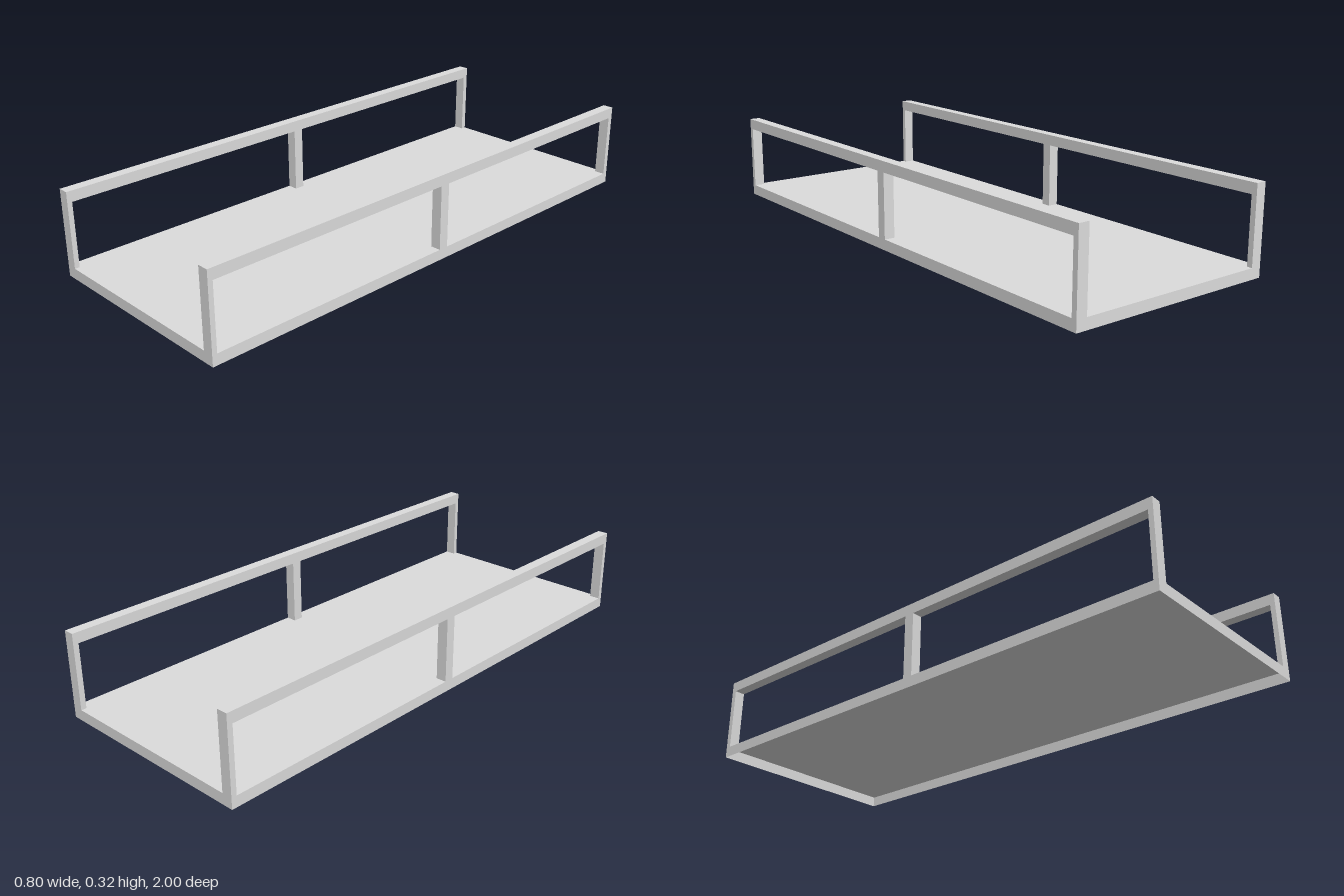
import * as THREE from 'three';

export function createModel() {
  const model = new THREE.Group();
  model.name = 'railedPlatform';
  const grey = new THREE.MeshStandardMaterial({ color: 0xdcdcdc, side: THREE.DoubleSide });
  grey.name = 'light grey';

  // Deck: a thin sheet with a shallow skirt, open underneath
  const deckGeometry = new THREE.BoxGeometry(0.8, 0.04, 2);
  const faces = Array.from(deckGeometry.index.array);
  deckGeometry.setIndex(faces.filter((_, i) => i < 18 || i >= 24)); // drop the bottom face
  deckGeometry.clearGroups();
  const deck = new THREE.Mesh(deckGeometry, grey);
  deck.name = 'deck';
  deck.position.y = 0.02;
  model.add(deck);

  // Railing outline (z, y): top rail with end posts and a middle post
  const outline = new THREE.Shape([
    [-1, 0.04], [-0.98, 0.04], [-0.98, 0.28], [-0.02, 0.28], [-0.02, 0.04],
    [0.018, 0.04], [0.018, 0.28], [0.982, 0.28], [0.982, 0.04], [1, 0.04],
    [1, 0.32], [-1, 0.32],
  ].map(([z, y]) => new THREE.Vector2(z, y)));
  const railingGeometry = new THREE.ExtrudeGeometry(outline, { depth: 0.04, bevelEnabled: false });
  railingGeometry.rotateY(-Math.PI / 2);

  // One railing along each long edge
  for (const [name, outerX] of [['leftRailing', 0.4], ['rightRailing', -0.36]]) {
    const railing = new THREE.Mesh(railingGeometry, grey);
    railing.name = name;
    railing.position.x = outerX;
    model.add(railing);
  }

  return model;
}
